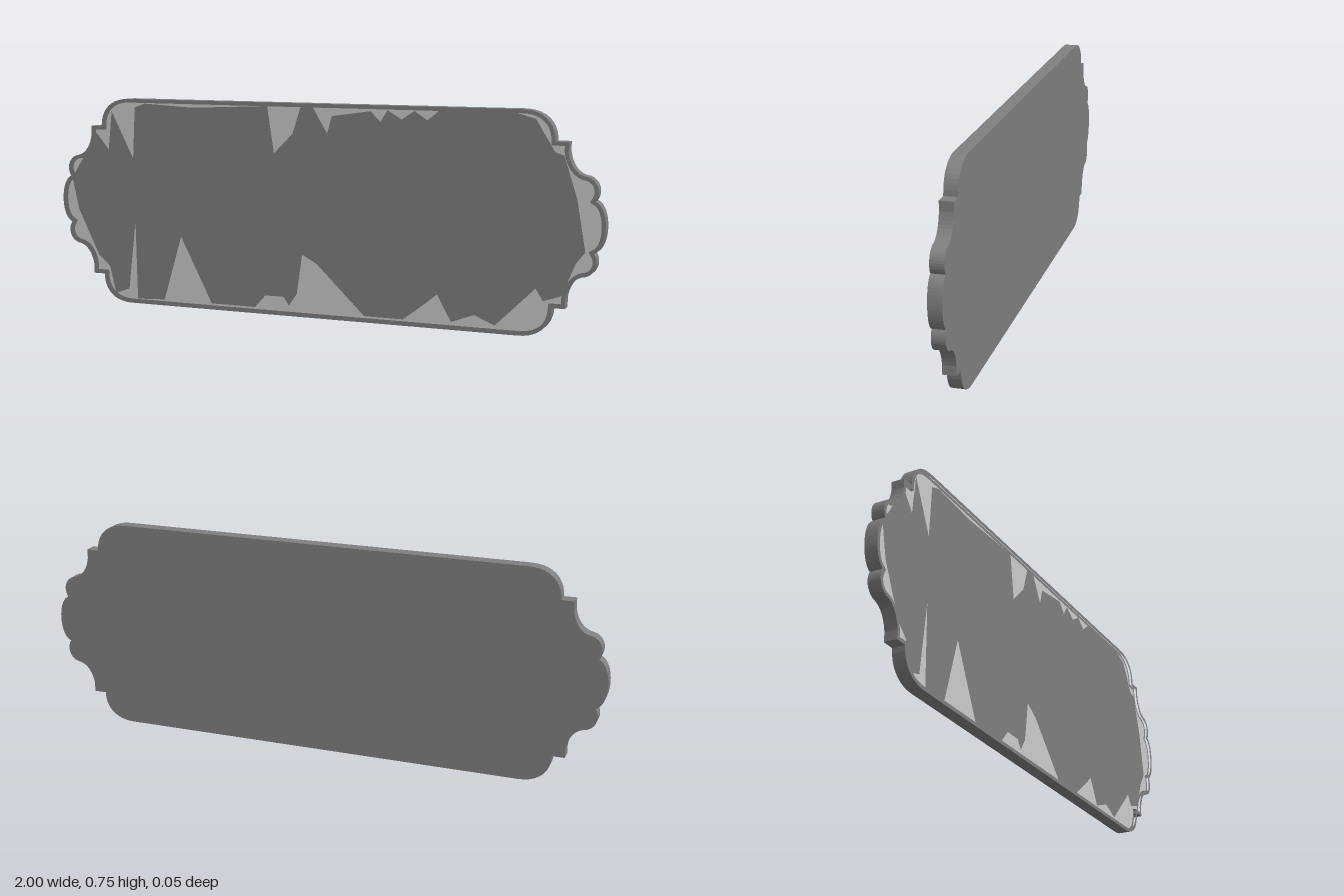
import * as THREE from 'three';

const MID = 0.373, HALF_DEPTH = 0.0225, RIM = 0.013, FLOOR = 0.01, COAT = 0.0015;

// Ragged edge of the dark finish on the sunken face, clockwise from upper left
const FINISH_EDGE = [
  [-0.70, 0.715], [-0.66, 0.73], [-0.47, 0.72], [-0.18, 0.733], [-0.155, 0.57], [-0.085, 0.64],
  [-0.055, 0.733], [-0.01, 0.733], [0.043, 0.645], [0.06, 0.705], [0.20, 0.725], [0.235, 0.69],
  [0.26, 0.73], [0.31, 0.70], [0.355, 0.73], [0.40, 0.70], [0.44, 0.733], [0.70, 0.733],
  [0.765, 0.715], [0.83, 0.61], [0.86, 0.60], [0.905, 0.46], [0.935, 0.29], [0.905, 0.25],
  [0.86, 0.14], [0.80, 0.12], [0.775, 0.16], [0.64, 0.025], [0.57, 0.055], [0.49, 0.025],
  [0.44, 0.115], [0.385, 0.07], [0.32, 0.02], [0.18, 0.02], [0.005, 0.19], [-0.05, 0.22],
  [-0.07, 0.08], [-0.10, 0.035], [-0.12, 0.065], [-0.19, 0.065], [-0.23, 0.02], [-0.40, 0.02],
  [-0.52, 0.255], [-0.59, 0.02], [-0.70, 0.015], [-0.705, 0.30], [-0.735, 0.05], [-0.79, 0.03],
  [-0.815, 0.13], [-0.86, 0.17], [-0.94, 0.335], [-0.965, 0.45], [-0.915, 0.53], [-0.86, 0.62],
  [-0.81, 0.56], [-0.795, 0.70], [-0.71, 0.53],
];

// Upper right quarter of the outline, measured from the centre
function quarterOutline() {
  const s = new THREE.Shape();
  s.moveTo(0.72, 0.373);
  s.bezierCurveTo(0.79, 0.373, 0.832, 0.335, 0.832, 0.272); // rounded corner
  s.lineTo(0.875, 0.272);                                   // step
  s.lineTo(0.875, 0.24);
  s.bezierCurveTo(0.882, 0.195, 0.905, 0.165, 0.94, 0.162); // hollow
  s.bezierCurveTo(0.975, 0.15, 0.982, 0.11, 0.965, 0.085);  // small lobe
  s.bezierCurveTo(0.988, 0.075, 1.0, 0.04, 1.0, 0);         // middle lobe
  return s.getPoints(10);
}

// Full clockwise outline by mirroring the quarter
function fullOutline() {
  const q = quarterOutline();
  const flip = (pts, sx, sy) => pts.map(p => new THREE.Vector2(p.x * sx, p.y * sy));
  return [
    ...q,
    ...flip(q, 1, -1).reverse().slice(1),
    ...flip(q, -1, -1),
    ...flip(q, -1, 1).reverse().slice(1),
  ];
}

// Move every point of the clockwise outline inward by a fixed width
function inset(pts, width) {
  const n = pts.length;
  return pts.map((p, i) => {
    const a = p.clone().sub(pts[(i + n - 1) % n]).normalize();
    const b = pts[(i + 1) % n].clone().sub(p).normalize();
    const na = new THREE.Vector2(a.y, -a.x), nb = new THREE.Vector2(b.y, -b.x);
    const m = na.clone().add(nb).normalize();
    return p.clone().addScaledVector(m, width / Math.max(m.dot(na), 0.6));
  });
}

export function createModel() {
  const group = new THREE.Group();
  group.name = 'scallopedPlaque';
  const dark = new THREE.MeshStandardMaterial({ color: 0x7f7f7f });
  const light = new THREE.MeshStandardMaterial({ color: 0xcccccc });
  const outline = fullOutline();
  const inner = inset(outline, RIM);

  const add = (name, geometry, material, y, z) => {
    const mesh = new THREE.Mesh(geometry, material);
    mesh.name = name;
    mesh.position.set(0, y, z);
    group.add(mesh);
  };
  const slab = (shape, depth) => new THREE.ExtrudeGeometry(shape, { depth, bevelEnabled: false });

  // Flat back panel
  add('panel', slab(new THREE.Shape(outline), FLOOR + HALF_DEPTH), dark, MID, -HALF_DEPTH);

  // Thin raised border following the outline
  const border = new THREE.Shape(outline);
  border.holes.push(new THREE.Path(inner));
  add('rim', slab(border, HALF_DEPTH - FLOOR), dark, MID, FLOOR);

  // Pale sunken face, and the dark finish lying over it
  add('face', new THREE.ShapeGeometry(new THREE.Shape(inner)), light, MID, FLOOR + COAT);
  const finish = new THREE.Shape(FINISH_EDGE.map(([x, y]) => new THREE.Vector2(x, y)));
  add('faceFinish', new THREE.ShapeGeometry(finish), dark, 0, FLOOR + 2 * COAT);

  return group;
}
